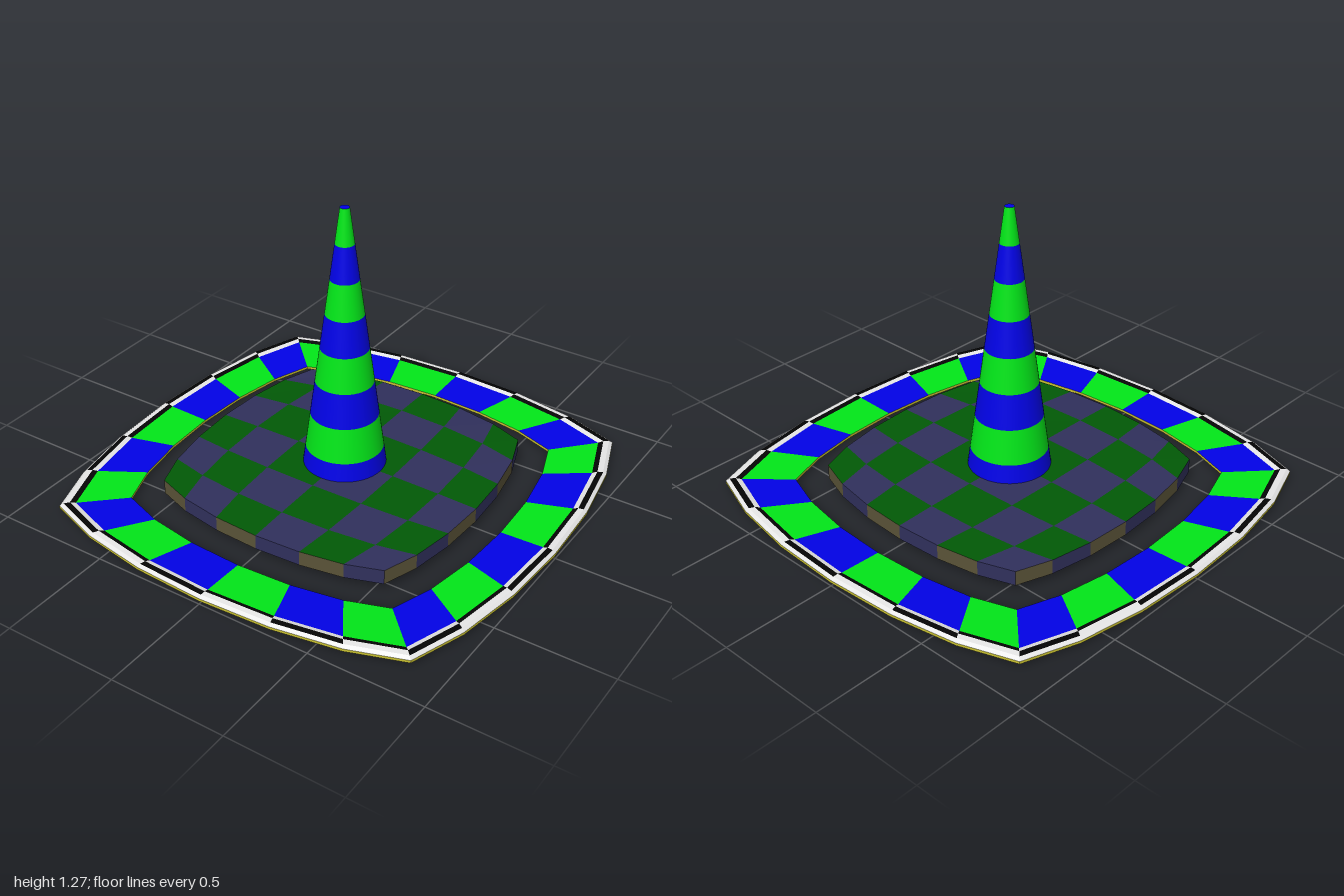
import * as THREE from 'three';

const mat = (name, color) => Object.assign(new THREE.MeshStandardMaterial({ color }), { name });

// grid stations across half the width, as fractions of the half width
const STATION = [-1, -0.72, -0.375, 0, 0.375, 0.72, 1];
const N = 6;

// bulged square: grid indices (i, j) to a point at half width r and height y
function bulge(i, j, r, y) {
  const u = i / 3 - 1, v = j / 3 - 1;
  return [r * STATION[i] * (1 - 0.15 * v * v), y, r * STATION[j] * (1 - 0.15 * u * u)];
}

// perimeter cell k (0..23), running from the back right corner round the square
function rim(k, r, y) {
  const s = Math.floor(k / N) % 4, t = k % N;
  const [i, j] = [[t, 0], [N, t], [N - t, N], [0, N - t]][s];
  return bulge(i, j, r, y);
}

// collects flat quads by material and turns them into one mesh per colour
function patchwork(name) {
  const sets = new Map();
  return {
    quad(m, a, b, c, d) {
      if (!sets.has(m)) sets.set(m, []);
      sets.get(m).push(...a, ...b, ...c, ...a, ...c, ...d);
    },
    build() {
      const group = new THREE.Group();
      group.name = name;
      for (const [m, pos] of sets) {
        const g = new THREE.BufferGeometry();
        g.setAttribute('position', new THREE.Float32BufferAttribute(pos, 3));
        g.computeVertexNormals();
        const mesh = new THREE.Mesh(g, m);
        mesh.name = `${name} ${m.name}`;
        group.add(mesh);
      }
      return group;
    },
  };
}

export function createModel() {
  const green = mat('bright green', 0x02f01a), blue = mat('blue', 0x0202ea);
  const darkGreen = mat('dark green', 0x025a06), slate = mat('slate', 0x30305c);
  const olive = mat('olive', 0x5a5338), black = mat('black', 0x040404);
  const white = mat('white', 0xe6e6e6), red = mat('red', 0xd80018);
  const brown = mat('brown', 0xc04604), yellow = mat('yellow', 0xc8c032);

  const model = new THREE.Group();
  model.name = 'stripedConeOnPlatform';

  // outer ring: closed section of [half width, height], each strip with its two colours
  const section = [
    [0.754, 0.026, green, blue],
    [0.944, 0.032, black, white],
    [0.964, 0.038, white, black],
    [0.986, 0.036, white, white],
    [1.0, 0.026, yellow, yellow],
    [1.0, 0.014, black, white],
    [0.982, 0.0, white, black],
    [0.945, 0.004, red, brown],
    [0.754, 0.014, yellow, yellow],
  ];
  const ring = patchwork('ring');
  section.forEach(([r0, y0, even, odd], n) => {
    const [r1, y1] = section[(n + 1) % section.length];
    for (let k = 0; k < 4 * N; k++)
      ring.quad(k % 2 ? odd : even, rim(k, r0, y0), rim(k + 1, r0, y0), rim(k + 1, r1, y1), rim(k, r1, y1));
  });
  model.add(ring.build());

  // chequered platform with a slightly domed top
  const R = 0.637, low = 0.03, high = 0.095;
  const platform = patchwork('platform');
  const dome = (i, j) => high + 0.008 * (1 - (i / 3 - 1) ** 2) * (1 - (j / 3 - 1) ** 2);
  const top = (i, j) => bulge(i, j, R, dome(i, j));
  const under = (i, j) => bulge(i, j, R, low);
  for (let i = 0; i < N; i++) {
    for (let j = 0; j < N; j++) {
      platform.quad((i + j) % 2 ? darkGreen : slate, top(i, j + 1), top(i + 1, j + 1), top(i + 1, j), top(i, j));
      platform.quad(darkGreen, under(i, j), under(i + 1, j), under(i + 1, j + 1), under(i, j + 1));
    }
  }
  // platform walls alternate all the way round
  for (let k = 0; k < 4 * N; k++)
    platform.quad(k % 2 ? olive : slate, rim(k, R, high), rim(k + 1, R, high), rim(k + 1, R, low), rim(k, R, low));
  model.add(platform.build());

  // tall cone in eight stacked bands
  const cone = new THREE.Group();
  cone.name = 'cone';
  const base = 0.0285, bands = 8, step = (1.27 - base) / bands;
  const radius = (n) => THREE.MathUtils.lerp(0.186, 0.02, n / bands);
  for (let n = 0; n < bands; n++) {
    const g = new THREE.CylinderGeometry(radius(n + 1), radius(n), step, 48, 1, true);
    const band = new THREE.Mesh(g, n % 2 ? green : blue);
    band.name = `cone band ${n + 1}`;
    band.position.y = base + (n + 0.5) * step;
    cone.add(band);
  }
  // end caps
  for (const [name, n, m, dir] of [['cone tip', bands, blue, -1], ['cone base', 0, green, 1]]) {
    const cap = new THREE.Mesh(new THREE.CircleGeometry(radius(n), 48), m);
    cap.name = name;
    cap.rotation.x = dir * Math.PI / 2;
    cap.position.y = base + n * step;
    cone.add(cap);
  }
  model.add(cone);

  return model;
}
